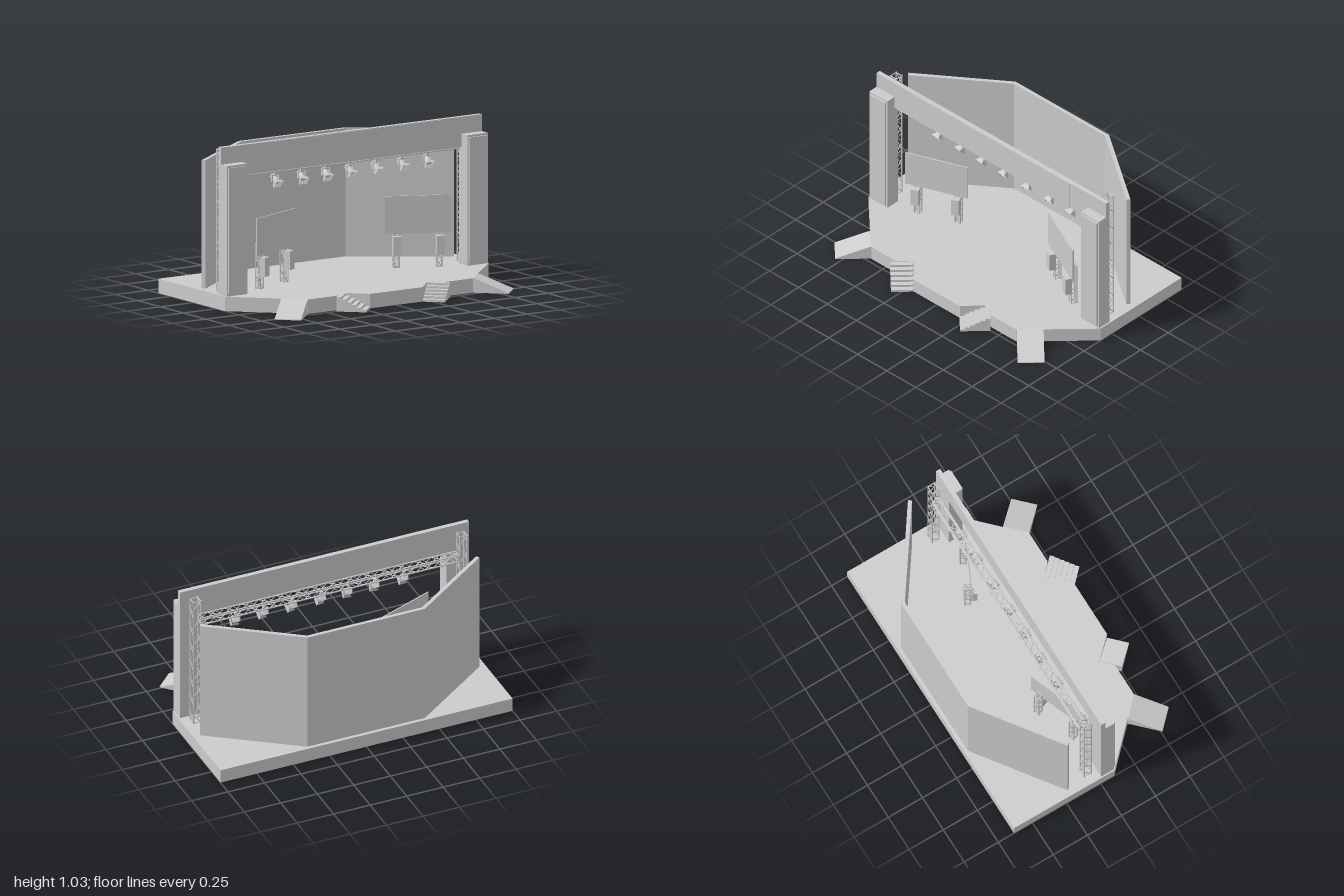
import * as THREE from 'three';
import { mergeGeometries } from 'three/addons/utils/BufferGeometryUtils.js';

const grey = new THREE.MeshStandardMaterial({ color: 0xcccccc });
const FLOOR = 0.092;

function add(parent, name, geometry, x = 0, y = 0, z = 0) {
  const mesh = new THREE.Mesh(geometry, grey);
  mesh.name = name;
  mesh.position.set(x, y, z);
  parent.add(mesh);
  return mesh;
}

const box = (w, h, d) => new THREE.BoxGeometry(w, h, d);
const shapeOf = (pts) => new THREE.Shape(pts.map(([x, y]) => new THREE.Vector2(x, y)));
const extrude = (pts, depth) => new THREE.ExtrudeGeometry(shapeOf(pts), { depth, bevelEnabled: false });

// Plan outline (x, z) raised to a height
const plan = (pts, height) => extrude(pts.map(([x, z]) => [x, -z]), height).rotateX(-Math.PI / 2);
const mirrored = (half) => [...half, ...half.map(([x, z]) => [-x, z]).reverse()];

// Straight round bar between two points
function bar(a, b, r) {
  const dir = new THREE.Vector3().subVectors(b, a);
  const q = new THREE.Quaternion().setFromUnitVectors(new THREE.Vector3(0, 1, 0), dir.clone().normalize());
  const mid = new THREE.Vector3().addVectors(a, b).multiplyScalar(0.5);
  return new THREE.CylinderGeometry(r, r, dir.length(), 6).applyQuaternion(q).translate(mid.x, mid.y, mid.z);
}

// Square lattice truss standing on the origin: four chords and zigzag bracing
function truss(length, width, bays, r) {
  const h = width / 2 - r;
  const corners = [[-h, -h], [h, -h], [h, h], [-h, h]];
  const at = ([x, z], y) => new THREE.Vector3(x, y, z);
  const parts = [];
  corners.forEach((c, i) => {
    const next = corners[(i + 1) % 4];
    parts.push(bar(at(c, 0), at(c, length), r));
    for (let k = 0; k < bays; k++) {
      const [from, to] = k % 2 ? [next, c] : [c, next];
      parts.push(bar(at(from, k * length / bays), at(to, (k + 1) * length / bays), r * 0.6));
    }
    for (const y of [r, length - r]) parts.push(bar(at(c, y), at(next, y), r * 0.7));
  });
  return mergeGeometries(parts);
}

// Side profile (run, height) swept across a width, leading away from the stage
function approach(parent, name, profile, width, x, z, angle) {
  const mesh = add(parent, name, extrude(profile, width).translate(0, 0, -width / 2), x, 0, z);
  mesh.rotation.y = angle;
}

function stairProfile(run, steps) {
  const pts = [[0, 0]];
  for (let i = 0; i < steps; i++) {
    const y = FLOOR * (steps - i) / steps;
    pts.push([run * i / steps, y], [run * (i + 1) / steps, y]);
  }
  pts.push([run, 0]);
  return pts;
}

// Stage light: clamp, yoke and a tilted can with a flared hood
function spotlight(x, yaw) {
  const light = new THREE.Group();
  light.name = 'spotlight';
  add(light, 'clamp', box(0.016, 0.03, 0.016), 0, 0.04, 0);
  add(light, 'yokeTop', box(0.056, 0.006, 0.014), 0, 0.028, 0);
  for (const s of [-1, 1]) add(light, 'yokeArm', box(0.005, 0.042, 0.014), s * 0.027, 0.007, 0);
  const head = new THREE.Group();
  head.name = 'lampHead';
  head.rotation.x = 0.7;
  add(head, 'can', new THREE.CylinderGeometry(0.023, 0.018, 0.045, 12).rotateX(Math.PI / 2));
  add(head, 'rearCap', box(0.03, 0.03, 0.018), 0, 0, -0.028);
  const hood = new THREE.CylinderGeometry(0.04, 0.029, 0.022, 4, 1, true).rotateY(Math.PI / 4).rotateX(Math.PI / 2);
  add(head, 'hood', hood, 0, 0, 0.033).material = new THREE.MeshStandardMaterial({
    color: 0xcccccc, side: THREE.DoubleSide, flatShading: true });
  light.add(head);
  light.position.set(x, 0.765, -0.045);
  light.rotation.y = yaw;
  return light;
}

// Angled video screen on two truss stands, each carrying a speaker
function screen(x, z, yaw) {
  const unit = new THREE.Group();
  unit.name = 'screenUnit';
  add(unit, 'screenPanel', box(0.422, 0.24, 0.008), 0, 0.432, 0);
  for (const s of [-1, 1]) {
    add(unit, 'screenStand', truss(0.29, 0.044, 7, 0.0045), s * 0.137, FLOOR, -0.027);
    add(unit, 'speaker', box(0.05, 0.12, 0.042), s * 0.137, 0.237, 0.012);
  }
  unit.position.set(x, 0, z);
  unit.rotation.y = yaw;
  return unit;
}

export function createModel() {
  const stage = new THREE.Group();
  stage.name = 'concertStage';

  // Platform with notches for the stairs
  add(stage, 'platform', plan(mirrored([
    [-1, -0.635], [-1, 0.1], [-0.626, 0.47], [-0.405, 0.47], [-0.33, 0.4], [-0.2, 0.535],
  ]), FLOOR));

  // Stairs and ramps
  const ramp = [[-0.01, 0], [-0.01, FLOOR], [0, FLOOR], [0.222, 0.005], [0.222, 0]];
  for (const s of [-1, 1]) {
    const inward = s < 0 ? -Math.PI / 4 : -3 * Math.PI / 4;
    const outward = s < 0 ? -3 * Math.PI / 4 : -Math.PI / 4;
    approach(stage, 'stairs', stairProfile(0.19, 6), 0.142, s * 0.382, 0.452, inward);
    approach(stage, 'ramp', ramp, 0.168, s * 0.69, 0.412, outward);
  }

  // Folded back wall
  add(stage, 'backWall', plan([
    [-0.96, -0.218], [-0.41, -0.612], [0.395, -0.612], [0.955, -0.218],
    [0.94, -0.197], [0.386, -0.588], [-0.401, -0.588], [-0.945, -0.197],
  ], 0.908 - FLOOR), 0, FLOOR, 0);

  // Front portal: legs and header, with a shallow banner
  add(stage, 'portal', extrude([
    [-0.99, FLOOR], [-0.99, 1.03], [0.99, 1.03], [0.99, FLOOR],
    [0.835, FLOOR], [0.835, 0.837], [-0.835, 0.837], [-0.835, FLOOR],
  ], 0.03), 0, 0, 0.01);
  add(stage, 'headerBanner', box(1.36, 0.185, 0.004), 0, 0.934, 0.042);

  for (const s of [-1, 1]) {
    // Portal pillar with raised front panel
    add(stage, 'pillar', box(0.155, 0.922 - FLOOR, 0.065), s * 0.9125, (0.922 + FLOOR) / 2, 0.0725);
    add(stage, 'pillarPanel', box(0.137, 0.8, 0.01), s * 0.9125, 0.509, 0.11);
    // Lighting tower
    add(stage, 'tower', truss(0.908, 0.06, 14, 0.005), s * 0.912, FLOOR, -0.057);
  }

  // Lighting truss across the stage
  add(stage, 'lightingTruss', truss(1.77, 0.058, 30, 0.005), 0.885, 0.84, -0.057).rotation.z = Math.PI / 2;
  [-0.52, -0.32, -0.136, 0.045, 0.243, 0.44, 0.634].forEach((x, i) =>
    stage.add(spotlight(x, [0.05, -0.15, -0.1, 0.1, 0.2, 0.12, -0.12][i])));

  // Screens turned toward the centre
  stage.add(screen(-0.533, -0.025, 0.37));
  stage.add(screen(0.547, -0.018, -0.44));
  return stage;
}
